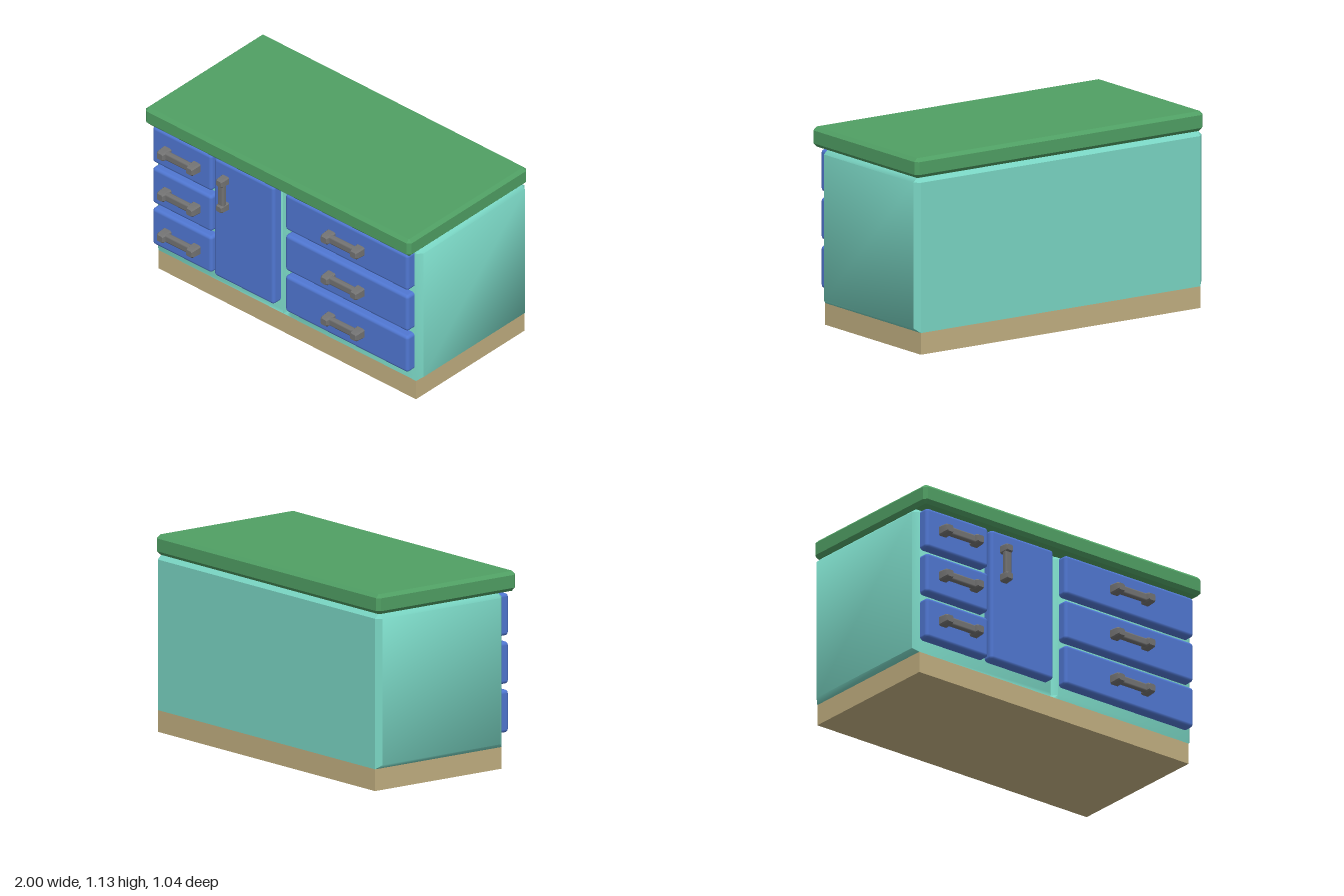
import * as THREE from 'three';
import { toCreasedNormals } from 'three/addons/utils/BufferGeometryUtils.js';
import { RoundedBoxGeometry } from 'three/addons/geometries/RoundedBoxGeometry.js';

const mat = (name, color) => {
  const m = new THREE.MeshStandardMaterial({ color });
  m.name = name;
  return m;
};

// Skin a stack of rings (counter-clockwise from above); keep(j) picks columns.
function loft(rings, { crease = 0.5, keep = () => true, caps = true } = {}) {
  const pos = [];
  const tri = (a, b, c) => {
    const n = b.clone().sub(a).cross(c.clone().sub(a));
    if (n.length() > 1e-8) for (const p of [a, b, c]) pos.push(p.x, p.y, p.z);
  };
  const n = rings[0].length;
  for (let i = 0; i < rings.length - 1; i++) {
    for (let j = 0; j < n; j++) {
      if (!keep(j)) continue;
      const k = (j + 1) % n;
      const [a, b, c, d] = [rings[i][j], rings[i][k], rings[i + 1][k], rings[i + 1][j]];
      tri(a, b, c);
      tri(a, c, d);
    }
  }
  if (caps) {
    for (const [ring, up] of [[rings[0], false], [rings[rings.length - 1], true]]) {
      const mid = ring.reduce((s, p) => s.add(p), new THREE.Vector3()).divideScalar(n);
      for (let j = 0; j < n; j++) {
        const k = (j + 1) % n;
        up ? tri(mid, ring[j], ring[k]) : tri(mid, ring[k], ring[j]);
      }
    }
  }
  const g = new THREE.BufferGeometry();
  g.setAttribute('position', new THREE.Float32BufferAttribute(pos, 3));
  return toCreasedNormals(g, crease);
}

// Rectangle ring with cut corners
function cutRing(y, hx, z0, z1, c) {
  return [[-hx + c, z1], [hx - c, z1], [hx, z1 - c], [hx, z0 + c],
    [hx - c, z0], [-hx + c, z0], [-hx, z0 + c], [-hx, z1 - c]]
    .map(([x, z]) => new THREE.Vector3(x, y, z));
}

// Cabinet ring: bevelled corners and a V groove in the middle of the front
function bodyRing(y, hx, sideX, z0, z1, sideZ0, sideZ1, grooveZ) {
  return [[-hx, z1], [-0.03, z1], [0, grooveZ], [0.03, z1], [hx, z1],
    [sideX, sideZ1], [sideX, sideZ0], [hx, z0], [-hx, z0], [-sideX, sideZ0], [-sideX, sideZ1]]
    .map(([x, z]) => new THREE.Vector3(x, y, z));
}

export function createModel() {
  const root = new THREE.Group();
  root.name = 'kitchenCounter';
  const teal = mat('teal cabinet', 0x7ad6c4);
  const green = mat('green worktop', 0x50a064);
  const blue = mat('blue fronts', 0x5077d2);
  const tan = mat('tan plinth', 0xc2b081);
  const grey = mat('grey handles', 0x727272);

  const add = (name, geo, material, x = 0, y = 0, z = 0, parent = root) => {
    const m = new THREE.Mesh(geo, material);
    m.name = name;
    m.position.set(x, y, z);
    parent.add(m);
    return m;
  };

  // Plinth
  add('plinth', new THREE.BoxGeometry(1.94, 0.125, 0.91), tan, 0, 0.0625, -0.065);

  // Cabinet body: soft front and sides, crisp back
  const body = [
    bodyRing(0.125, 0.97, 0.97, -0.52, 0.39, -0.52, 0.39, 0.39),
    bodyRing(0.15, 0.97, 1, -0.52, 0.39, -0.49, 0.36, 0.36),
    bodyRing(0.99, 0.97, 1, -0.52, 0.39, -0.49, 0.36, 0.36),
    bodyRing(1.018, 0.97, 0.97, -0.49, 0.36, -0.49, 0.36, 0.36),
  ];
  const isBack = (j) => j >= 6 && j <= 8;
  add('cabinetBody', loft(body, { crease: 0.9, keep: (j) => !isBack(j) }), teal);
  add('cabinetBack', loft(body, { crease: 0.3, keep: isBack, caps: false }), teal);

  // Worktop with bevelled edges
  add('worktop', loft([
    cutRing(1.015, 0.98, -0.5, 0.46, 0.004),
    cutRing(1.036, 1, -0.52, 0.48, 0.02),
    cutRing(1.11, 1, -0.52, 0.48, 0.02),
    cutRing(1.13, 0.98, -0.5, 0.46, 0.004),
  ]), green);

  // Drawer and door fronts
  const front = (name, x0, x1, y0, y1) =>
    add(name, new RoundedBoxGeometry(x1 - x0, y1 - y0, 0.11, 2, 0.02), blue,
      (x0 + x1) / 2, (y0 + y1) / 2, 0.395);

  // Handle: two tapered posts joined by a bar
  const post = loft([
    cutRing(0, 0.03, -0.03, 0.03, 0.008),
    cutRing(0.056, 0.027, -0.027, 0.027, 0.008),
    cutRing(0.07, 0.02, -0.02, 0.02, 0.006),
  ]).rotateX(Math.PI / 2);
  const handle = (name, x, y, length, scale = 1) => {
    const g = new THREE.Group();
    g.name = name;
    g.position.set(x, y, 0.448);
    const reach = length / 2 - 0.03 * scale;
    for (const s of [-1, 1]) {
      add('handlePost', post, grey, s * reach, 0, 0, g).scale.setScalar(scale);
    }
    add('handleBar', new RoundedBoxGeometry(reach * 2, 0.05 * scale, 0.036, 2, 0.012),
      grey, 0, 0, 0.032, g);
    root.add(g);
    return g;
  };

  // Three drawers on each side
  for (const [y0, y1, hy] of [[0.2, 0.445, 0.322], [0.48, 0.722, 0.602], [0.757, 1, 0.88]]) {
    front('rightDrawer', -0.965, -0.518, y0, y1);
    handle('rightDrawerHandle', -0.737, hy, 0.28);
    front('leftDrawer', 0.035, 0.96, y0, y1);
    handle('leftDrawerHandle', 0.497, hy, 0.28);
  }

  // Door with upright handle
  front('door', -0.5, -0.048, 0.2, 1);
  handle('doorHandle', -0.41, 0.805, 0.226, 0.88).rotation.z = Math.PI / 2;

  return root;
}
